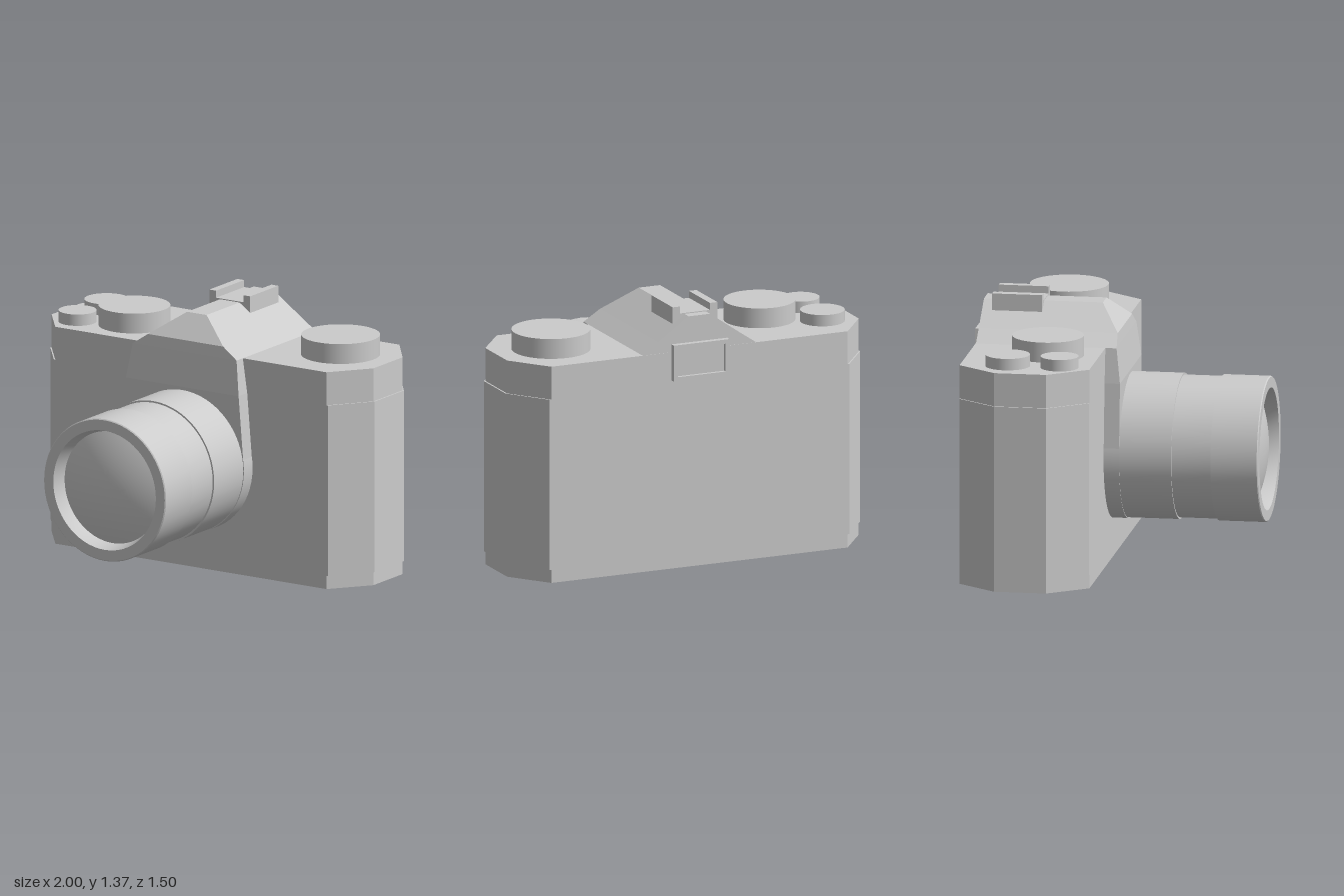
import * as THREE from 'three';
import { toCreasedNormals } from 'three/addons/utils/BufferGeometryUtils.js';

const BACK = -0.725;
const LENS_Y = 0.577;

export function createModel() {
  const model = new THREE.Group();
  model.name = 'camera';
  const material = new THREE.MeshStandardMaterial({ color: 0xcccccc });

  function add(name, geometry, x = 0, y = 0, z = 0) {
    const mesh = new THREE.Mesh(geometry, material);
    mesh.name = name;
    mesh.position.set(x, y, z);
    model.add(mesh);
    return mesh;
  }

  // Body layers: one eight-sided footprint, the middle slightly longer than the plates
  function bodyLayer(name, y0, y1, end, corner) {
    const half = [[corner, -0.05], [end, -0.25], [end, -0.52], [corner, BACK]];
    const outline = [...half, ...half.map(([x, z]) => [-x, z]).reverse()];
    const shape = new THREE.Shape(outline.map(([x, z]) => new THREE.Vector2(x, -z)));
    const geometry = new THREE.ExtrudeGeometry(shape, { depth: y1 - y0, bevelEnabled: false });
    add(name, geometry.rotateX(-Math.PI / 2), 0, y0, 0);
  }
  bodyLayer('bottomPlate', 0, 0.07, 0.992, 0.836);
  bodyLayer('bodyMiddle', 0.07, 0.975, 1, 0.845);
  bodyLayer('topPlate', 0.975, 1.15, 0.992, 0.836);

  // Viewfinder housing: rectangular sections [y, half width, front z] joined upwards
  const sections = [
    [LENS_Y, 0.38, 0.03], [0.97, 0.347, 0.03], [1.15, 0.32, 0.008],
    [1.21, 0.232, 0], [1.33, 0.06, -0.105],
  ];
  const rings = sections.map(([y, w, f]) => [[-w, y, f], [w, y, f], [w, y, BACK + 0.002], [-w, y, BACK + 0.002]]);
  const points = [];
  const quad = (a, b, c, d) => points.push(...a, ...b, ...c, ...a, ...c, ...d);
  for (let i = 0; i < rings.length - 1; i++) {
    for (let j = 0; j < 4; j++) {
      const k = (j + 1) % 4;
      quad(rings[i][j], rings[i][k], rings[i + 1][k], rings[i + 1][j]);
    }
  }
  quad(...rings[rings.length - 1]);
  const housing = new THREE.BufferGeometry();
  housing.setAttribute('position', new THREE.Float32BufferAttribute(points, 3));
  housing.computeVertexNormals();
  add('viewfinderHousing', housing);

  // Round lower end of the housing, behind the lens
  const mount = new THREE.CylinderGeometry(0.38, 0.38, 0.1, 64).rotateX(Math.PI / 2);
  add('lensMount', mount, 0, LENS_Y, -0.02);

  // Turned parts along the lens axis, profiles as [radius, z]
  function turned(name, profile) {
    const geometry = new THREE.LatheGeometry(profile.map(([r, z]) => new THREE.Vector2(r, z)), 64);
    add(name, toCreasedNormals(geometry.rotateX(Math.PI / 2), 0.5), 0, LENS_Y, 0);
  }
  turned('lensBarrel', [
    [0.376, -0.05], [0.376, 0.3], [0.367, 0.3], [0.367, 0.505], [0.376, 0.505],
    [0.376, 0.745], [0.371, 0.75], [0.316, 0.75], [0.296, 0.68], [0.296, 0.66],
  ]);
  const dome = [];
  for (let i = 0; i <= 12; i++) {
    const t = i / 12;
    dome.push([0.298 * (1 - t), 0.675 + 0.065 * (1 - (1 - t) ** 2)]);
  }
  turned('frontGlass', dome);

  // Dials and button on the top plate: [name, x, z, radius, top]
  const dials = [
    ['speedDial', -0.525, -0.315, 0.185, 1.255],
    ['advancePivot', -0.805, -0.48, 0.115, 1.21],
    ['shutterButton', -0.805, -0.21, 0.098, 1.21],
    ['rewindKnob', 0.69, -0.4, 0.203, 1.255],
  ];
  for (const [name, x, z, r, top] of dials) {
    add(name, new THREE.CylinderGeometry(r, r, top - 1.14, 48), x, (top + 1.14) / 2, z);
  }

  // Accessory shoe: base with two raised rails
  add('shoeBase', new THREE.BoxGeometry(0.25, 0.055, 0.26), 0, 1.3075, -0.54);
  for (const side of [-1, 1]) {
    add('shoeRail', new THREE.BoxGeometry(0.042, 0.09, 0.26), side * 0.105, 1.327, -0.54);
  }

  // Eyepiece: rectangular frame around a recessed window
  const frame = new THREE.Shape([[-0.157, 1], [0.157, 1], [0.157, 1.192], [-0.157, 1.192]]
    .map(([x, y]) => new THREE.Vector2(x, y)));
  frame.holes.push(new THREE.Path([[-0.135, 1.022], [-0.135, 1.17], [0.135, 1.17], [0.135, 1.022]]
    .map(([x, y]) => new THREE.Vector2(x, y))));
  add('eyepieceFrame', new THREE.ExtrudeGeometry(frame, { depth: 0.05, bevelEnabled: false }), 0, 0, -0.753);
  add('eyepieceWindow', new THREE.BoxGeometry(0.28, 0.16, 0.03), 0, 1.096, -0.72);

  return model;
}
